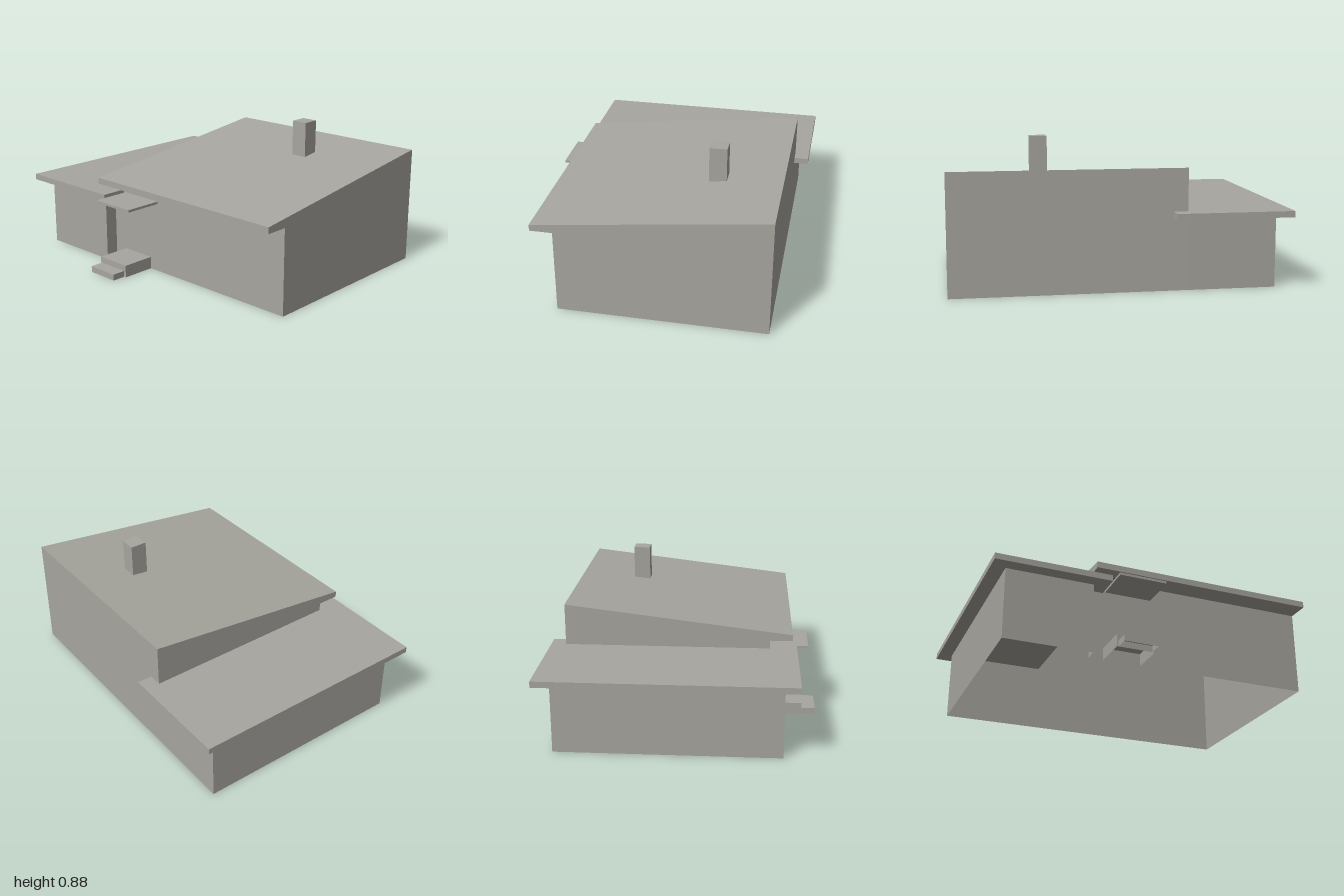
import * as THREE from 'three';

export function createModel() {
  const model = new THREE.Group();
  const stone = new THREE.MeshStandardMaterial({ color: 0xa8a69f, side: THREE.DoubleSide });
  stone.name = 'warm grey';

  const add = (name, geometry) => {
    const mesh = new THREE.Mesh(geometry, stone);
    mesh.name = name;
    model.add(mesh);
    return mesh;
  };

  // Flat panel fanned from its first corner, corners anticlockwise from outside
  const panel = (name, corners) => {
    const geometry = new THREE.BufferGeometry();
    geometry.setAttribute('position', new THREE.Float32BufferAttribute(corners.flat(), 3));
    const index = [];
    for (let i = 1; i < corners.length - 1; i++) index.push(0, i, i + 1);
    geometry.setIndex(index);
    const flat = geometry.toNonIndexed();
    flat.computeVertexNormals();
    return add(name, flat);
  };

  // Box given by its limits; "open" drops faces (0 +x, 1 -x, 2 +y, 3 -y, 4 +z, 5 -z)
  const block = (name, [x0, x1], [y0, y1], [z0, z1], open = []) => {
    const geometry = new THREE.BoxGeometry(x1 - x0, y1 - y0, z1 - z0);
    geometry.translate((x0 + x1) / 2, (y0 + y1) / 2, (z0 + z1) / 2);
    const index = Array.from(geometry.index.array);
    geometry.setIndex(index.filter((_, i) => !open.includes(Math.floor(i / 6))));
    return add(name, geometry);
  };

  const left = -0.385, right = 1, front = 0.52, back = -0.725;
  const eaveZ = 0.655, soffit = 0.517, eaveTop = 0.555, ridge = 0.72;
  const wingLeft = -0.915, wingFront = 0.6, wingTop = 0.43;

  // Side walls of the main hall, including the ends of the eave
  const profile = (x, base) => [
    [x, soffit, front], [x, base, front], [x, base, back],
    [x, ridge, back], [x, eaveTop, eaveZ], [x, soffit, eaveZ],
  ];
  panel('rightWall', profile(right, 0));
  const leftProfile = profile(left, wingTop);
  panel('leftUpperWall', [leftProfile[0], ...leftProfile.slice(1).reverse()]);

  // Front and back of the main hall
  const hallSlope = (ridge - eaveTop) / (eaveZ - back);
  const frontTop = eaveTop + hallSlope * (eaveZ - front);
  panel('frontWall', [[left, 0, front], [right, 0, front], [right, frontTop, front], [left, frontTop, front]]);
  panel('backWall', [[right, 0, back], [left, 0, back], [left, ridge, back], [right, ridge, back]]);

  // Sloping roof with its fascia and soffit
  panel('mainRoof', [[left, eaveTop, eaveZ], [right, eaveTop, eaveZ], [right, ridge, back], [left, ridge, back]]);
  panel('fascia', [[left, soffit, eaveZ], [right, soffit, eaveZ], [right, eaveTop, eaveZ], [left, eaveTop, eaveZ]]);
  panel('soffit', [[left, soffit, front], [right, soffit, front], [right, soffit, eaveZ], [left, soffit, eaveZ]]);

  // Low wing, open to the hall, with a short return wall at the front
  const wall = (name, [xa, za], [xb, zb]) =>
    panel(name, [[xa, 0, za], [xb, 0, zb], [xb, wingTop, zb], [xa, wingTop, za]]);
  wall('wingFrontWall', [wingLeft, wingFront], [left, wingFront]);
  wall('wingReturnWall', [left, wingFront], [left, front]);
  wall('wingBackWall', [left, back], [wingLeft, back]);
  wall('wingSideWall', [wingLeft, back], [wingLeft, wingFront]);
  block('wingRoof', [-1, -0.3], [wingTop, 0.467], [-0.815, 0.683]);

  // Chimney, with its foot cut to the roof slope
  const chimney = block('chimney', [0.4, 0.5], [0.66, 0.885], [-0.39, -0.285], [3]);
  const p = chimney.geometry.attributes.position;
  for (let i = 0; i < p.count; i++) {
    if (p.getY(i) < 0.7) p.setY(i, eaveTop + hallSlope * (eaveZ - p.getZ(i)));
  }

  // Entrance canopy and hollow steps
  block('canopy', [-0.285, 0.005], [0.437, 0.452], [front, 0.757]);
  block('upperStep', [-0.295, -0.065], [0, 0.075], [front, 0.73], [3, 5]);
  block('lowerStep', [-0.285, -0.08], [0, 0.038], [0.73, 0.815], [3, 5]);

  return model;
}
